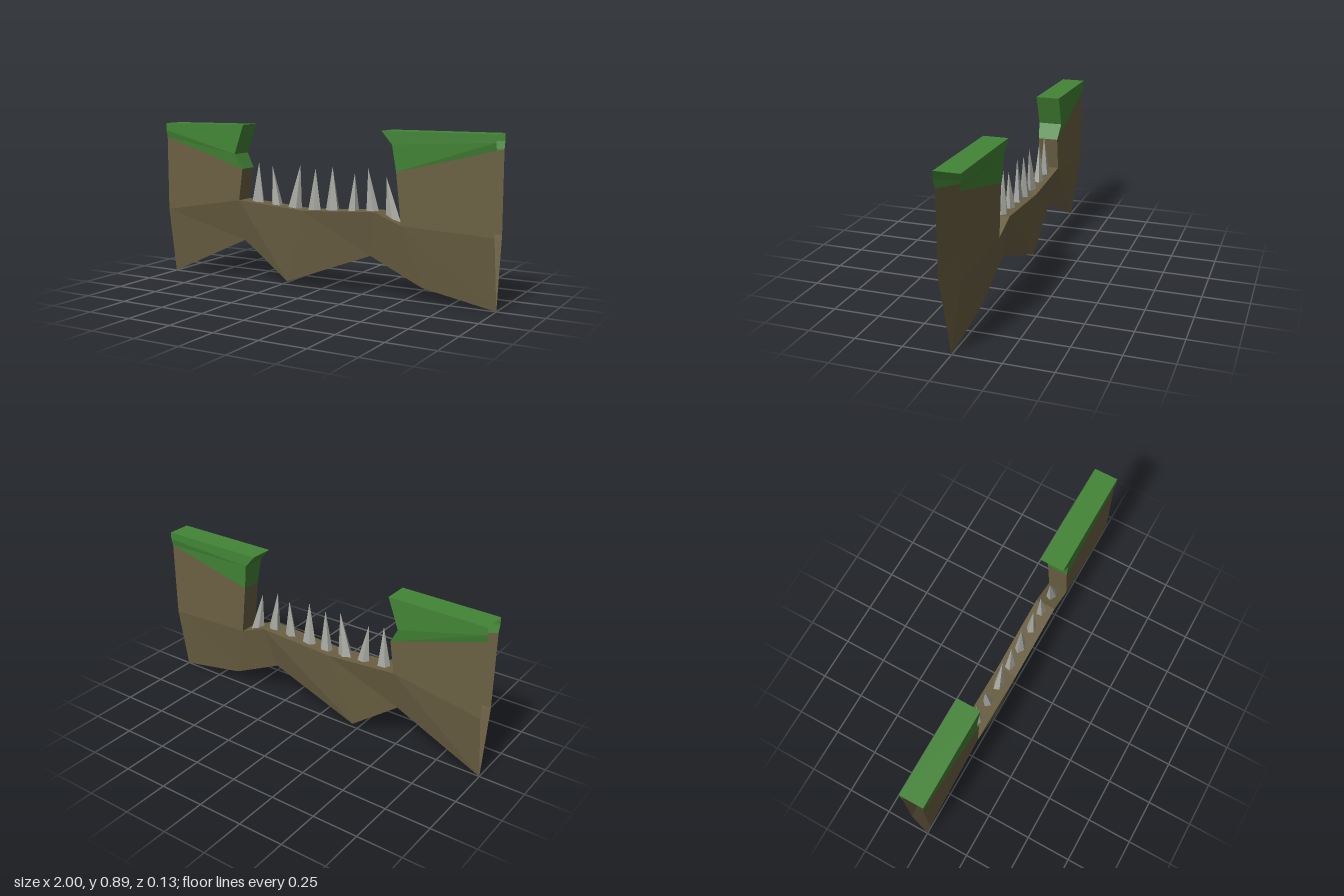
import * as THREE from 'three';
import { mergeGeometries } from 'three/addons/utils/BufferGeometryUtils.js';

const material = (color) =>
  new THREE.MeshStandardMaterial({ color, flatShading: true, side: THREE.DoubleSide });

// Flat quads between two point rows of equal length
function strip(a, b) {
  const p = [];
  for (let i = 0; i < a.length - 1; i++) {
    p.push(...a[i], ...b[i], ...b[i + 1], ...a[i], ...b[i + 1], ...a[i + 1]);
  }
  const g = new THREE.BufferGeometry();
  g.setAttribute('position', new THREE.Float32BufferAttribute(p, 3));
  g.computeVertexNormals();
  return g;
}

const flip = (row) => row.map(([x, y, z]) => [x, y, -z]);
// Matching strips on the front and back
const bothSides = (a, b) => [strip(a, b), strip(flip(b), flip(a))];

const W = 0.056; // half thickness of the earth
const G = 0.066; // half thickness of the grass

// Crease along the pit floor, and the keel below it
const crease = [[-1, 0.385], [-0.5, 0.47], [-0.09, 0.44], [0.35, 0.465], [0.5, 0.405], [1, 0.385]]
  .map(([x, y]) => [x, y, W]);
const keel = [[-1, 0.006], [-0.5, 0.235], [-0.22, 0.025], [0.3, 0.22], [0.6, 0.08], [1, 0.006]]
  .map(([x, y]) => [x, y, 0]);

// Grass edge columns from top to bottom, listed left to right for each bank
const column = (pts) => pts.map(([x, y], i) => [x, y, i < 2 ? G : W]);
const banks = [
  {
    name: 'rightBankGrass', inner: 1,
    cols: [column([[-1, 0.89], [-1, 0.85], [-1, 0.81]]),
      column([[-0.46, 0.895], [-0.52, 0.73], [-0.475, 0.648]])],
    foot: [crease[0], crease[1]],
  },
  {
    name: 'leftBankGrass', inner: 0,
    cols: [column([[0.39, 0.888], [0.45, 0.82], [0.47, 0.68]]),
      column([[1, 0.89], [1, 0.85], [1, 0.81]])],
    foot: [crease[4], crease[5]],
  },
];

// Height of the pit floor at x
function floorY(x) {
  let i = 1;
  while (i < 3 && x > crease[i + 1][0]) i++;
  const [a, b] = [crease[i], crease[i + 1]];
  return a[1] + ((b[1] - a[1]) * (x - a[0])) / (b[0] - a[0]);
}

// Leaning five-sided cone whose base follows the floor
function spikeGeometry(left, right, tipX, tipY, turn) {
  const g = new THREE.ConeGeometry(1, 1, 5, 1).rotateY(turn);
  const pos = g.attributes.position;
  const mid = (left + right) / 2;
  for (let i = 0; i < pos.count; i++) {
    if (pos.getY(i) > 0) {
      pos.setXYZ(i, tipX, tipY, 0);
    } else {
      const x = mid + pos.getX(i) * (right - left) * 0.54;
      pos.setXYZ(i, x, floorY(x) - 0.012, pos.getZ(i) * 0.028 - 0.004);
    }
  }
  g.computeVertexNormals();
  return g;
}

export function createModel() {
  const group = new THREE.Group();
  const add = (name, geometry, mat) => {
    const mesh = new THREE.Mesh(geometry, mat);
    mesh.name = name;
    group.add(mesh);
  };
  const earth = material(0x6b6043);
  const grass = material(0x438536);
  const stone = material(0xa9a9a2);

  // Tapering underside and pit floor, open at both ends
  add('earthKeel', mergeGeometries(bothSides(crease, keel)), earth);
  const pit = crease.slice(1, 5);
  add('pitFloor', strip(flip(pit), pit), earth);

  // Earth walls and grass caps of the two banks
  for (const { name, inner, cols, foot } of banks) {
    const [L, R] = cols;
    const rim = [L[2], R[2]];
    const endFace = (col) => (inner ? strip(flip(col), col) : strip(col, flip(col)));
    add(name.replace('Grass', 'Earth'),
      mergeGeometries([...bothSides(rim, foot), endFace([rim[inner], foot[inner]])]), earth);
    const top = [L[0], R[0]];
    add(name,
      mergeGeometries([...bothSides(R, L), strip(flip(top), top), endFace(cols[inner])]), grass);
  }

  // Row of spikes: base left, base right, tip x, tip y
  const spikes = [
    [-0.445, -0.37, -0.4, 0.685], [-0.318, -0.25, -0.31, 0.667],
    [-0.215, -0.13, -0.13, 0.685], [-0.08, -0.005, -0.035, 0.67],
    [0.03, 0.11, 0.07, 0.685], [0.16, 0.225, 0.205, 0.657],
    [0.275, 0.345, 0.283, 0.685], [0.392, 0.48, 0.39, 0.645],
  ];
  spikes.forEach((s, i) => add(`spike${i + 1}`, spikeGeometry(...s, i * 0.9), stone));

  return group;
}
